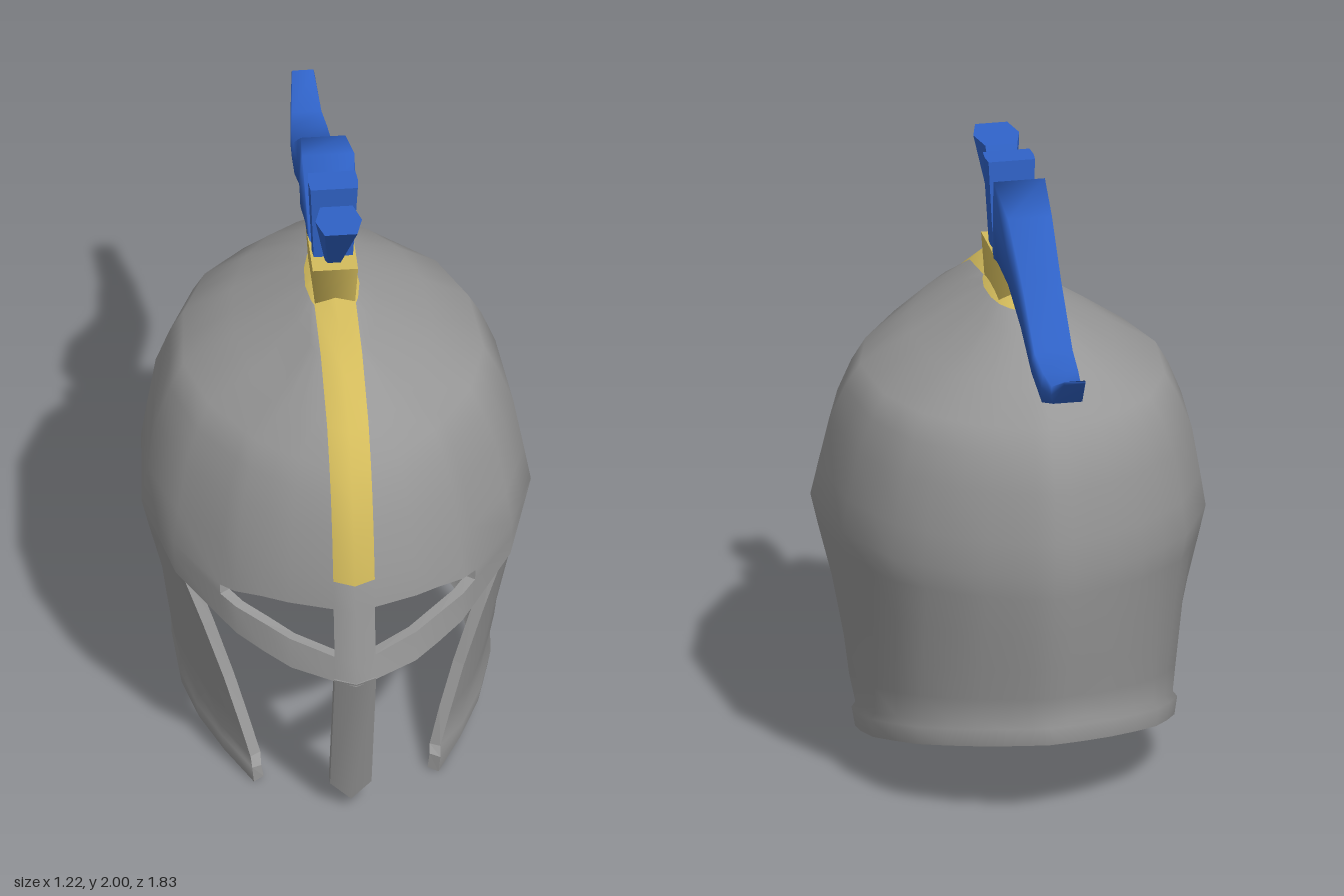
import * as THREE from 'three';

const { lerp, clamp } = THREE.MathUtils;
const material = (name, color) => Object.assign(new THREE.MeshStandardMaterial({ color }), { name });

// Half outline seen from above, front to back: [share of half width, share of front / back reach]
const PLAN = [[0, 1], [0.33, 0.86], [0.59, 0.68], [0.87, 0.35], [1, 0],
  [0.95, -0.4], [0.77, -0.68], [0.49, -0.86], [0.2, -0.96], [0, -1]];

// Cross-sections from the top down: [y, front z, back z, half width, z of widest point]
const BROW = [0.87, 0.875, -0.63, 0.61, 0.22];
const DOME = [[1.605, 0.1, 0.06, 0, 0.08], [1.6, 0.17, -0.05, 0.045, 0.08], [1.575, 0.3, -0.14, 0.085, 0.09],
  [1.54, 0.5, -0.28, 0.14, 0.1], [1.43, 0.67, -0.45, 0.31, 0.12], [1.33, 0.74, -0.53, 0.47, 0.13],
  [1.25, 0.785, -0.58, 0.515, 0.15], [1.14, 0.825, -0.61, 0.56, 0.17], [0.98, 0.865, -0.63, 0.59, 0.2]];
const MASK = [BROW, [0.72, 0.895, -0.6, 0.6, 0.22], [0.6, 0.915, -0.59, 0.59, 0.22]];
const BODY = [BROW, [0.72, 0.86, -0.61, 0.575, 0.22], [0.36, 0.81, -0.53, 0.515, 0.15], [0, 0.78, -0.47, 0.46, 0.1]];
const STRIPE = 0.065;

// Point on the helmet surface at outline position p and height y
function surface(p, y, levels, scale = 1) {
  let i = 0;
  while (i < levels.length - 2 && y < levels[i + 1][0]) i++;
  const t = (levels[i][0] - y) / (levels[i][0] - levels[i + 1][0]);
  const [, zF, zB, w, zW] = levels[i].map((v, k) => lerp(v, levels[i + 1][k], t));
  const j = Math.min(Math.floor(p), 8);
  const X = lerp(PLAN[j][0], PLAN[j + 1][0], p - j), Z = lerp(PLAN[j][1], PLAN[j + 1][1], p - j);
  return [w * X * scale, y, zW + Z * scale * (Z > 0 ? zF - zW : zW - zB)];
}

// Outline position where the front half is as wide as the stripe
function stripeP(w) {
  const X = STRIPE / Math.max(w, 1e-6);
  for (let i = 0; i < 4; i++) {
    if (X < PLAN[i + 1][0]) return i + (X - PLAN[i][0]) / (PLAN[i + 1][0] - PLAN[i][0]);
  }
  return 4;
}

// Collects mirrored quads that share vertices
function makeSheet() {
  const pos = [], ids = new Map(), metal = [], gold = [];
  const vert = (v) => {
    const key = v.map((n) => Math.round(n * 1e4)).join();
    if (!ids.has(key)) {
      ids.set(key, pos.length / 3);
      pos.push(...v);
    }
    return ids.get(key);
  };
  const tri = (list, a, b, c) => { if (a !== b && b !== c && c !== a) list.push(a, b, c); };
  const quad = (corners, list) => {
    const flip = corners.map(([x, y, z]) => [-x, y, z]).reverse();
    for (const q of [corners, flip]) {
      const [a, b, c, d] = q.map(vert);
      tri(list, a, b, c);
      tri(list, a, c, d);
    }
  };
  // rows of points, top to bottom, each running from front to back
  const grid = (rows, pick = () => metal) => {
    for (let i = 0; i < rows.length - 1; i++) for (let j = 0; j < rows[i].length - 1; j++) {
      const list = pick(i, j);
      if (list) quad([rows[i][j], rows[i + 1][j], rows[i + 1][j + 1], rows[i][j + 1]], list);
    }
  };
  return { pos, metal, gold, grid };
}

function geometry(pos, index) {
  const g = new THREE.BufferGeometry();
  g.setAttribute('position', new THREE.Float32BufferAttribute(pos, 3));
  if (index) g.setIndex(index);
  g.computeVertexNormals();
  return g;
}

// Loft through sections [top z, top y, bottom z, bottom y, half width] with six-sided rings
function loft(sections, corner, flat) {
  const pos = [], index = [], n = 6, last = (sections.length - 1) * n;
  for (const [zt, yt, zb, yb, w] of sections) {
    for (const [x, t] of [[-1, 0.5], [-corner, 1], [corner, 1], [1, 0.5], [corner, 0], [-corner, 0]]) {
      pos.push(x * w, lerp(yb, yt, t), lerp(zb, zt, t));
    }
  }
  for (let i = 0; i < last; i += n) for (let j = 0; j < n; j++) {
    const a = i + j, b = i + (j + 1) % n;
    index.push(a, b, b + n, a, b + n, a + n);
  }
  for (let j = 1; j < n - 1; j++) index.push(0, j + 1, j, last, last + j, last + j + 1);
  const g = geometry(pos, index);
  if (!flat) return g;
  const f = g.toNonIndexed();
  f.computeVertexNormals();
  return f;
}

export function createModel() {
  const group = new THREE.Group();
  const steel = material('steel grey', 0x999999);
  const brass = material('pale gold', 0xd4bc5c);
  const blue = material('plume blue', 0x3063c8);
  const add = (name, geo, mat) => {
    const m = new THREE.Mesh(geo, mat);
    m.name = name;
    group.add(m);
    return m;
  };

  const sheet = makeSheet();
  const sideCols = Array.from({ length: 13 }, (_, i) => 3 + i / 2);

  // Dome, with the stripe along its front ridge; the brow dips towards the outer eye corners
  const browY = (p) => (p < 2.25 ? 0.88 - 0.055 * (p / 2.25) ** 2 : Math.min(0.87, lerp(0.825, 0.87, (p - 2.25) / 0.75)));
  const browS = stripeP(0.61);
  const cols = [1, 1.5, 2, 2.25, ...sideCols];
  const dome = DOME.map(([y, , , w]) => {
    const s = stripeP(w);
    return [0, s, ...cols.map((p) => Math.max(p, s))].map((p) => surface(p, y, DOME));
  });
  dome.push([0, browS, ...cols].map((p) => surface(p, browY(p), MASK)));
  sheet.grid(dome, (i, j) => (i < 2 || (j === 0 && i < DOME.length - 1) ? sheet.gold : sheet.metal));

  // Face mask, leaving the eye openings free
  const maskCols = [0, browS, 1, 1.5, 2, 2.25, 3, 3.5, 4];
  sheet.grid([browY, (p) => 0.695 + 0.0425 * p, (p) => 0.62 + 0.245 * (p / 4) ** 2]
    .map((yAt) => maskCols.map((p) => surface(p, yAt(p), MASK))),
  (i, j) => (i === 0 && j > 0 && j < 5 ? null : sheet.metal));

  // Cheeks and neck with a raised lip along the sloping lower rim
  const cheekP = (y) => Math.min(3, 2.02 + 1.32 * y);
  const share = (k) => (k - 3) / 6;
  const rimAt = (z) => 0.146 - 0.255 * z;
  const rimP = (k) => lerp(cheekP(0.03), 9, share(k));
  const rimY = (k) => rimAt(surface(rimP(k), 0.15, BODY)[2]);
  const body = [0, 0.15, 0.4, 0.65, 0.85, 1].map((t) => sideCols.map((k) => {
    const p = lerp(cheekP(lerp(0.87, 0.09, t)), 9, share(k));
    return surface(p, lerp(0.87, rimY(k) + 0.08, t), BODY);
  }));
  for (const dy of [0.06, 0]) {
    body.push(sideCols.map((k) => surface(rimP(k), rimY(k) + dy, BODY, 1.035)));
  }
  sheet.grid(body);

  // Outer skin
  const { pos, metal, gold } = sheet;
  const faces = [...metal, ...gold];
  const outer = geometry(pos, faces);
  outer.addGroup(0, metal.length, 0);
  outer.addGroup(metal.length, gold.length, 1);
  add('helmetShell', outer, [steel, brass]);

  // Lining, set inward by the wall thickness, which swells into a roll along the rim at the neck
  const normal = outer.attributes.normal.array;
  const inside = [];
  for (let i = 0; i < pos.length; i += 3) {
    const height = pos[i + 1] - rimAt(pos[i + 2]);
    const swell = clamp(1 - height / 0.1, 0, 1) * clamp((0.5 - pos[i + 2]) / 0.6, 0, 1);
    const [x, y, z] = [0, 1, 2].map((k) => pos[i + k] - normal[i + k] * (0.038 + 0.035 * swell));
    inside.push(x, y - 0.255 * (z - pos[i + 2]) * swell, z);
  }
  add('helmetLining', geometry(inside, [...faces].reverse()), steel);

  // Walls closing every open edge between skin and lining
  const edges = new Map();
  for (let i = 0; i < faces.length; i += 3) for (let j = 0; j < 3; j++) {
    const a = faces[i + j], b = faces[i + (j + 1) % 3];
    const key = Math.min(a, b) + '_' + Math.max(a, b);
    edges.set(key, edges.has(key) ? null : [a, b]);
  }
  const walls = [];
  for (const edge of edges.values()) {
    if (!edge) continue;
    const [a, b] = edge;
    const o = (i) => pos.slice(i * 3, i * 3 + 3), n = (i) => inside.slice(i * 3, i * 3 + 3);
    walls.push(...o(b), ...o(a), ...n(a), ...o(b), ...n(a), ...n(b));
  }
  add('helmetEdges', geometry(walls), steel);

  // Nose guard: a sloping bar, ridged in the middle, with a pointed end
  const guard = new THREE.BoxGeometry(0.13, 0.56, 0.04, 2, 1, 1);
  const gp = guard.attributes.position;
  for (let i = 0; i < gp.count; i++) {
    const x = gp.getX(i), low = gp.getY(i) < 0;
    const y = low ? (x === 0 ? 0.045 : 0.1) : 0.63;
    gp.setXYZ(i, x, y, 0.89 - (0.62 - y) * 0.305 - Math.abs(x) * 0.45 + gp.getZ(i));
  }
  guard.computeVertexNormals();
  add('noseGuard', guard, steel);

  // Plume holder: a four-sided cup, wider at the top
  const holder = new THREE.CylinderGeometry(Math.SQRT1_2, Math.SQRT1_2 * 0.88, 0.15, 4, 1, false, Math.PI / 4);
  holder.scale(0.142, 1, 0.256);
  add('plumeHolder', holder, brass).position.set(0, 1.64, 0.07);

  // Plume: two upright tufts and a long tail sweeping back
  add('frontTuft', loft([[0.14, 1.69, 0.11, 1.69, 0.025], [0.39, 2, 0.23, 1.99, 0.073]], 0.7, true), blue);
  add('middleTuft', loft([[0.125, 1.7, 0.055, 1.7, 0.064], [0.155, 2, 0.065, 2, 0.078]], 0.95, true), blue);
  add('plumeTail', loft([[0.05, 1.7, -0.03, 1.7, 0.07], [-0.05, 1.98, -0.11, 1.735, 0.088],
    [-0.22, 1.92, -0.22, 1.7, 0.075], [-0.4, 1.775, -0.38, 1.62, 0.067], [-0.59, 1.615, -0.54, 1.53, 0.065],
    [-0.7, 1.59, -0.68, 1.485, 0.06], [-0.79, 1.58, -0.81, 1.53, 0.05], [-0.92, 1.645, -0.92, 1.635, 0.035]], 0.93), blue);

  return group;
}
